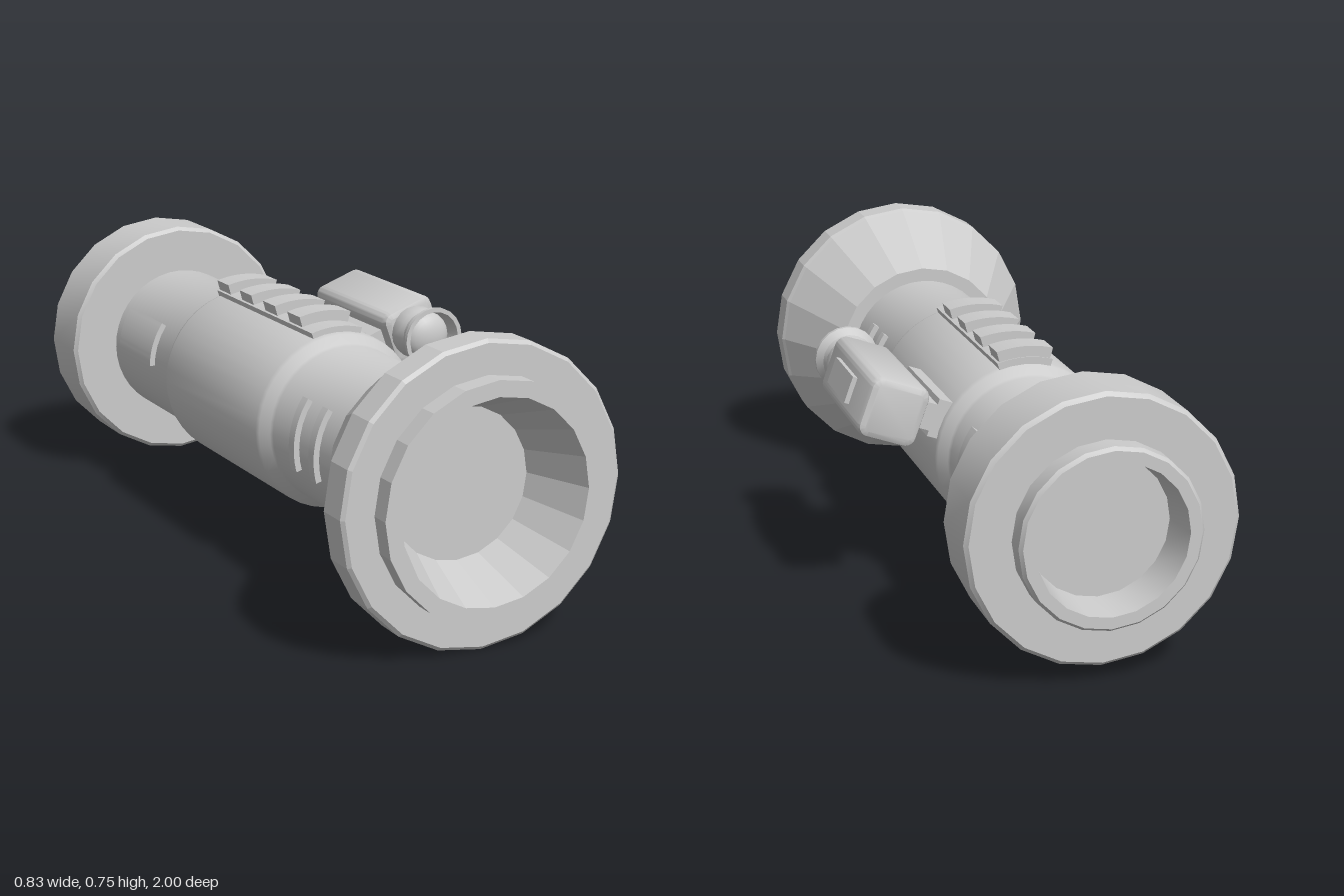
import * as THREE from 'three';
import { toCreasedNormals } from 'three/addons/utils/BufferGeometryUtils.js';

const smooth = new THREE.MeshStandardMaterial({ color: 0xcccccc });
const faceted = new THREE.MeshStandardMaterial({ color: 0xcccccc, flatShading: true });

function add(parent, name, geometry, material = smooth) {
  const mesh = new THREE.Mesh(geometry, material);
  mesh.name = name;
  parent.add(mesh);
  return mesh;
}

// Turned part along z; profile is [radius, z], running from back to front on the outside
function turned(profile, sides, crease = 0.45) {
  const geo = new THREE.LatheGeometry(profile.map(([r, z]) => new THREE.Vector2(r, z)), sides);
  geo.rotateX(Math.PI / 2);
  return toCreasedNormals(geo, crease);
}

// Shape in xy pushed along z from z0 to z1
function extruded(shape, z0, z1, bevel = 0) {
  const geo = new THREE.ExtrudeGeometry(shape, {
    depth: z1 - z0 - 2 * bevel, curveSegments: 8, bevelEnabled: bevel > 0,
    bevelSize: bevel, bevelThickness: bevel, bevelOffset: -bevel, bevelSegments: 2,
  });
  geo.translate(0, 0, z0 + bevel);
  return toCreasedNormals(geo, 0.45);
}

// Curved plate wrapped on the tube, between two radii and two angles in degrees
function curvedPlate(r0, r1, deg0, deg1, z0, z1) {
  const a0 = THREE.MathUtils.degToRad(deg0), a1 = THREE.MathUtils.degToRad(deg1);
  const shape = new THREE.Shape();
  shape.absarc(0, 0, r1, a0, a1, false);
  shape.absarc(0, 0, r0, a1, a0, true);
  return extruded(shape, z0, z1);
}

function roundedSquare(half, corner) {
  const s = new THREE.Shape(), c = half - corner, q = Math.PI / 2;
  s.absarc(c, c, corner, 0, q, false);
  s.absarc(-c, c, corner, q, 2 * q, false);
  s.absarc(-c, -c, corner, 2 * q, 3 * q, false);
  s.absarc(c, -c, corner, 3 * q, 4 * q, false);
  return s;
}

export function createModel() {
  const model = new THREE.Group();
  model.name = 'launchTube';

  // Everything on the tube is built around its axis
  const tube = new THREE.Group();
  tube.name = 'tubeAssembly';
  tube.position.set(-0.04, 0.377, 0);
  model.add(tube);

  // Main tube with a thicker middle
  add(tube, 'mainTube', turned([
    [0.207, -0.8], [0.207, -0.375], [0.211, -0.365], [0.231, -0.343], [0.235, -0.33],
    [0.235, 0.225], [0.231, 0.238], [0.211, 0.26], [0.207, 0.27], [0.207, 0.68],
  ], 40, 0.8));

  // Front bell with a tapered mouth
  add(tube, 'frontBell', turned([
    [0.19, 0.64], [0.245, 0.64], [0.37, 0.855], [0.377, 0.865], [0.377, 0.942], [0.368, 0.95],
    [0.293, 0.95], [0.293, 1], [0.253, 1], [0.19, 0.83], [0, 0.83],
  ], 20), faceted);

  // Rear collar and recessed end ring
  add(tube, 'rearCollar', turned([
    [0.2, -0.94], [0.327, -0.94], [0.337, -0.93], [0.337, -0.77], [0.327, -0.76], [0.2, -0.76],
  ], 20));
  add(tube, 'rearRing', turned([
    [0, -0.9], [0.175, -0.9], [0.188, -1], [0.217, -1], [0.225, -0.99], [0.225, -0.93],
  ], 20));

  // Top rail: curved base with four raised teeth
  add(tube, 'railBase', curvedPlate(0.22, 0.25, 73, 107, -0.34, 0.225));
  for (let i = 0; i < 4; i++) {
    const z = -0.337 + i * 0.142;
    add(tube, 'railTooth', curvedPlate(0.24, 0.278, 74.5, 105.5, z, z + 0.071));
  }

  // Ribs and plates, mirrored on both sides
  for (const mirrored of [false, true]) {
    const span = (a, b) => (mirrored ? [180 - b, 180 - a] : [a, b]);
    for (const z of [0.4, 0.505]) {
      add(tube, 'gripRib', curvedPlate(0.195, 0.222, ...span(-15, 35), z - 0.014, z + 0.014));
    }
    add(tube, 'sidePlate', curvedPlate(0.195, 0.222, ...span(2, 35), -0.7, -0.478));
  }

  // Sight, tilted outwards on the left side
  const sight = new THREE.Group();
  sight.name = 'sight';
  sight.position.set(0.315, 0.528, 0);
  sight.rotation.z = THREE.MathUtils.degToRad(20);
  model.add(sight);

  add(sight, 'sightBody', extruded(roundedSquare(0.079, 0.03), -0.398, 0.012, 0.018));
  add(sight, 'sightButton', new THREE.BoxGeometry(0.025, 0.07, 0.185)).position.set(0.079, 0, -0.178);

  // Mount between tube and sight
  add(sight, 'mountArm', new THREE.BoxGeometry(0.12, 0.07, 0.305)).position.set(-0.11, 0, -0.175);
  add(sight, 'mountFoot', new THREE.BoxGeometry(0.05, 0.1, 0.305)).position.set(-0.15, 0, -0.175);

  // Flared eyepiece and its domed lens
  add(sight, 'eyepiece', turned([
    [0.068, 0], [0.072, 0.02], [0.07, 0.05], [0.066, 0.065], [0.07, 0.085],
    [0.086, 0.105], [0.086, 0.116], [0.074, 0.116], [0.066, 0.07], [0, 0.07],
  ], 20));
  const lens = new THREE.SphereGeometry(0.066, 20, 8, 0, Math.PI * 2, 0, Math.PI / 2);
  lens.rotateX(Math.PI / 2);
  lens.scale(1, 1, 0.6);
  add(sight, 'lens', lens).position.z = 0.068;

  return model;
}
